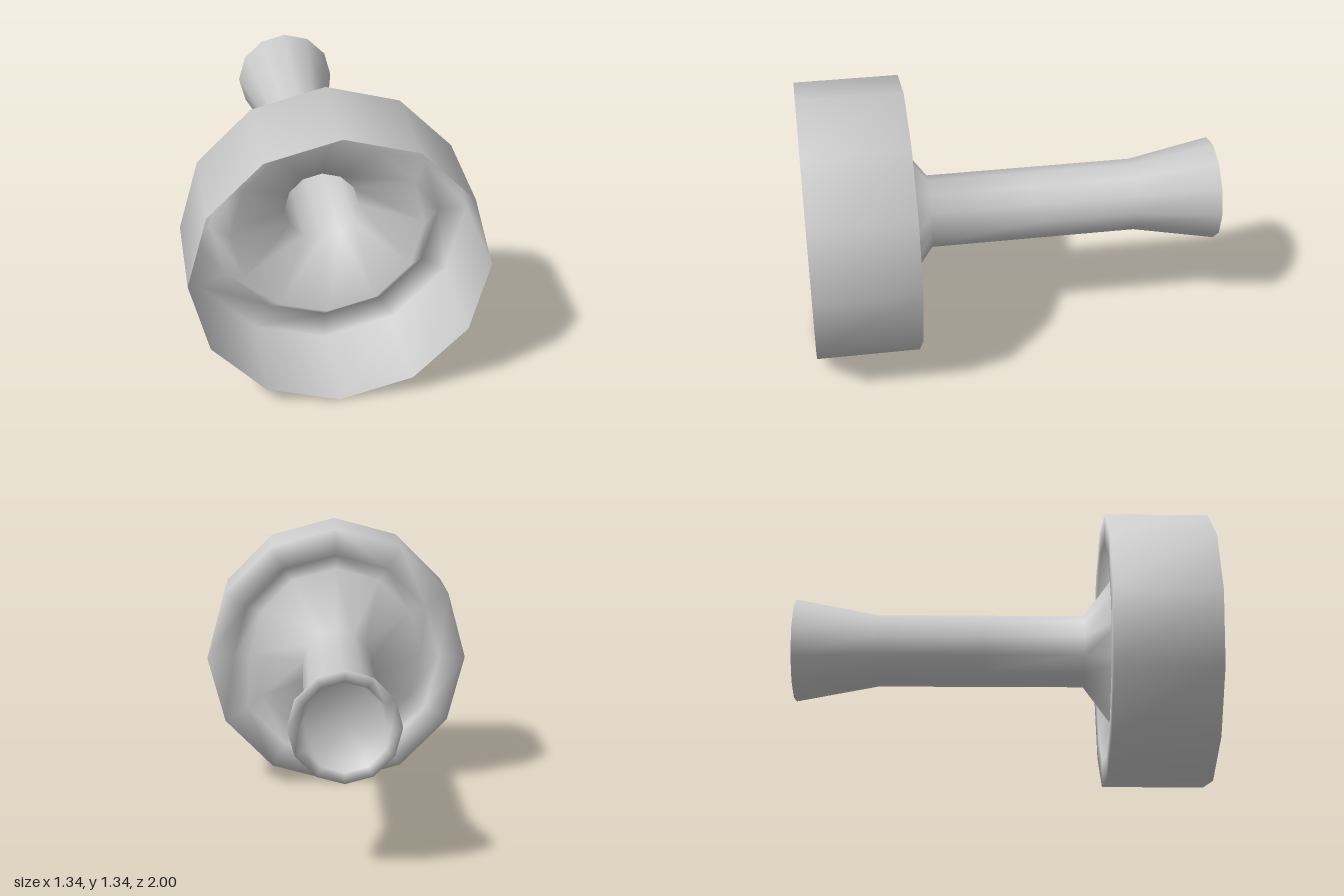
import * as THREE from 'three';

const RADIUS = 0.67; // axis height above the ground
const SIDES = 12;

// Thin shell turned about the z axis; profile is [radius, z] from back to front
function turned(name, profile) {
  const points = profile.map(([r, z]) => new THREE.Vector2(r, z));
  const geometry = new THREE.LatheGeometry(points, SIDES);
  geometry.rotateX(Math.PI / 2);
  const material = new THREE.MeshStandardMaterial({ color: 0xcccccc, side: THREE.DoubleSide });
  const mesh = new THREE.Mesh(geometry, material);
  mesh.name = name;
  mesh.position.y = RADIUS;
  return mesh;
}

export function createModel() {
  const group = new THREE.Group();
  group.name = 'drumWithHandle';

  // Flared handle with a recessed end cap
  group.add(turned('handle', [
    [0, -0.9],
    [0.18, -0.9],
    [0.2, -1],
    [0.25, -1],
    [0.175, -0.6],
    [0.175, -0.1],
  ]));

  // Neck widening into a funnel, ring-shaped back and open drum wall
  group.add(turned('drumHead', [
    [0.175, -0.1],
    [0.175, 0.4],
    [0.45, 0.61],
    [0.535, 0.5],
    [RADIUS, 0.5],
    [RADIUS, 1],
  ]));

  return group;
}
